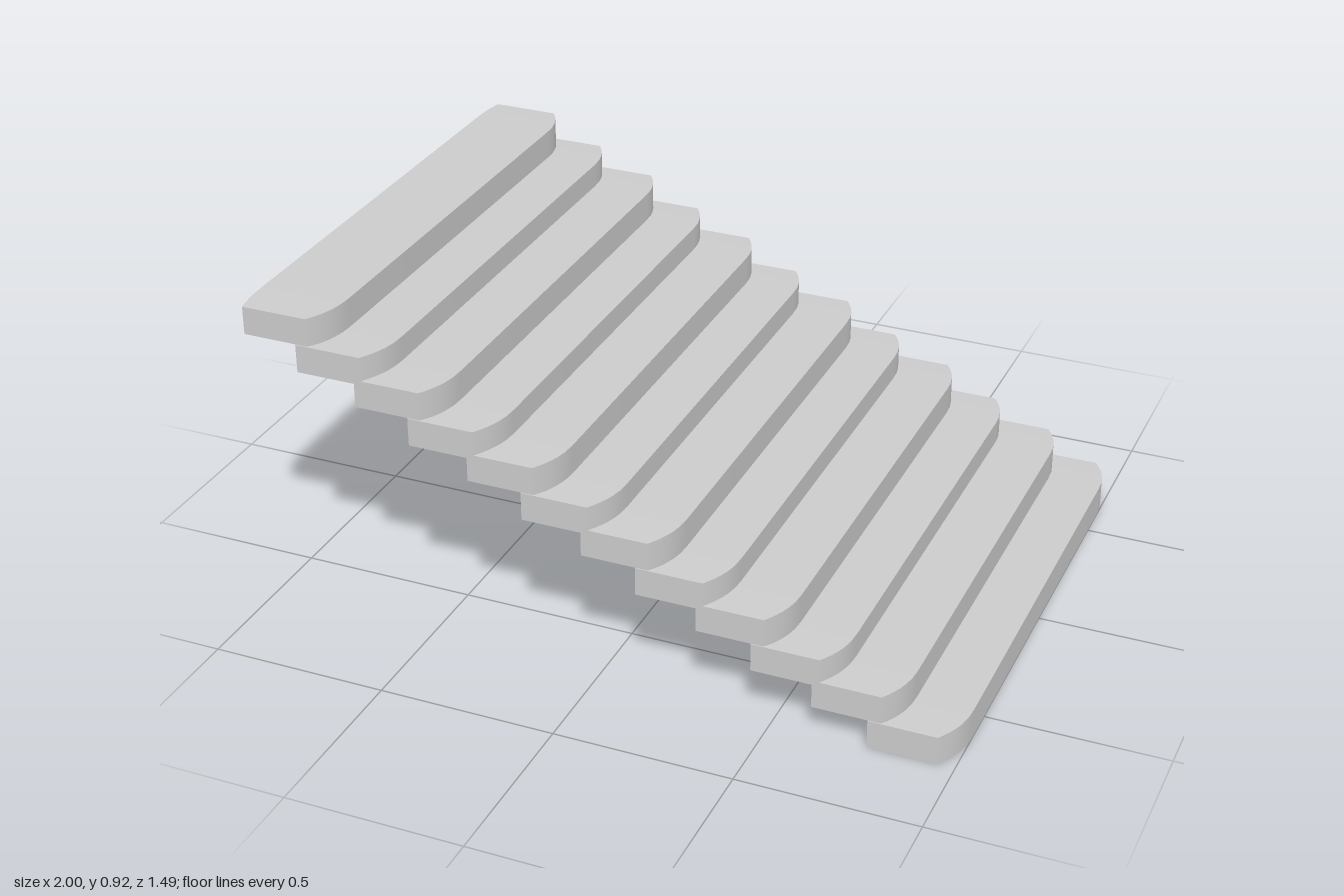
import * as THREE from 'three';

const WIDTH = 0.245, HEIGHT = 0.086, HALF_DEPTH = 0.746;
// stations along half the depth, closer together at the rounded corners
const STATIONS = [0, 0.3, 0.6, 0.64, 0.67, 0.69, 0.71, 0.73, HALF_DEPTH];

// one tread: a slab whose front corners are rounded and whose ends thin slightly
function treadGeometry() {
  const n = STATIONS.length - 1;
  const geo = new THREE.BoxGeometry(WIDTH, HEIGHT, 2 * n, 1, 1, 2 * n);
  const pos = geo.attributes.position;
  for (let i = 0; i < pos.count; i++) {
    const s = Math.round(pos.getZ(i));
    const z = STATIONS[Math.abs(s)];
    const nose = Math.max(0, (z - 0.6) / (HALF_DEPTH - 0.6));
    const back = Math.max(0, (z - 0.67) / (HALF_DEPTH - 0.67));
    const x = pos.getX(i), y = pos.getY(i);
    pos.setXYZ(
      i,
      x > 0 ? x - 0.048 * nose ** 2.2 : x + 0.009 * back ** 1.5,
      y - Math.sign(y) * 0.003 * nose ** 1.5,
      Math.sign(s) * z
    );
  }
  geo.computeVertexNormals();
  return geo;
}

export function createModel() {
  const group = new THREE.Group();
  group.name = 'staircase';
  const material = new THREE.MeshStandardMaterial({ color: 0xcccccc });
  const geo = treadGeometry();

  // twelve treads climbing towards -x, in slightly uneven pairs
  for (let i = 0; i < 12; i++) {
    const pair = Math.floor(i / 2), odd = i % 2;
    const right = (odd ? 0.8475 : 1) - 0.3205 * pair;
    const top = (odd ? 0.168 : HEIGHT) + 0.1505 * pair;
    const tread = new THREE.Mesh(geo, material);
    tread.name = `tread${i + 1}`;
    tread.position.set(right - WIDTH / 2, top - HEIGHT / 2, 0);
    group.add(tread);
  }
  return group;
}
